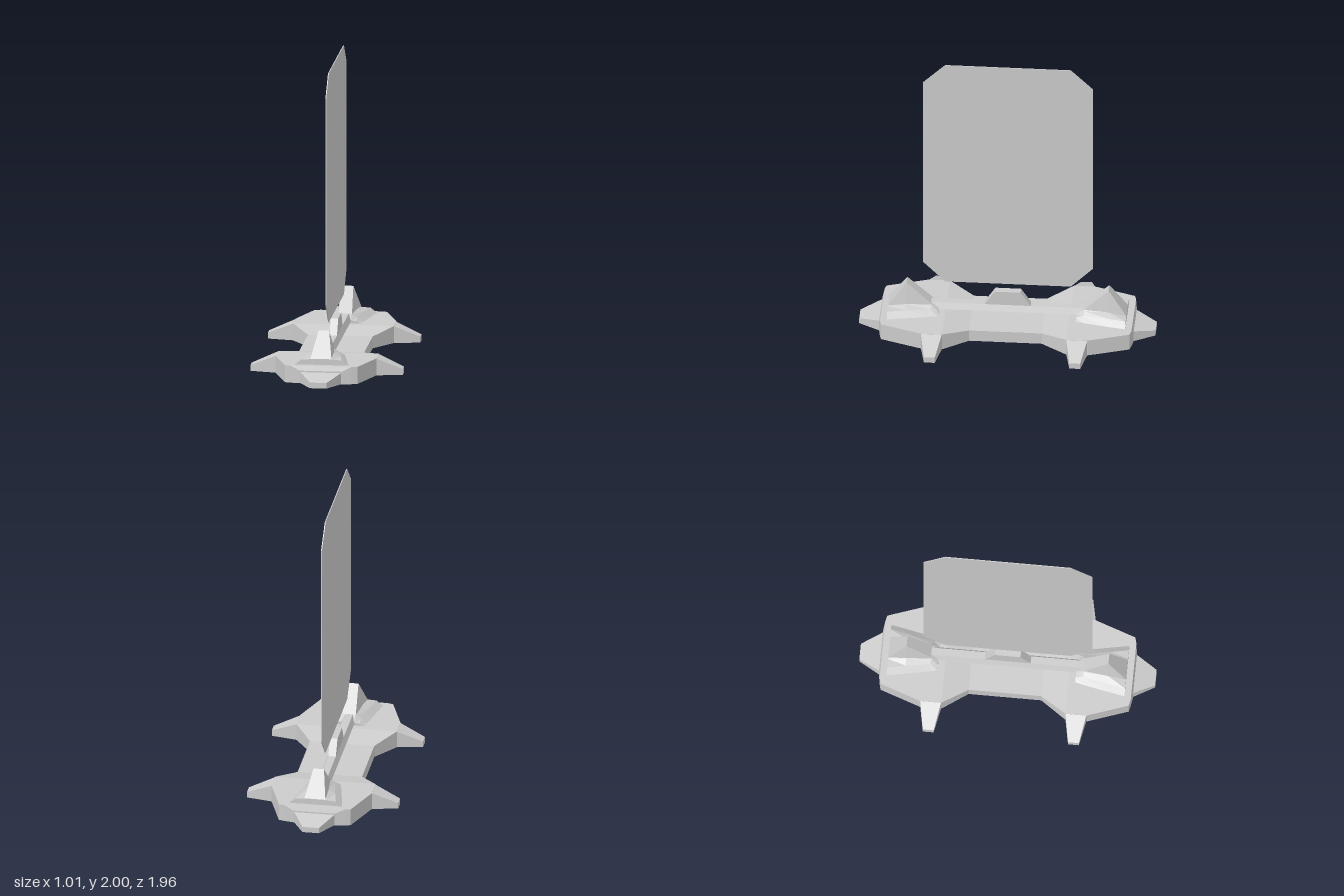
import * as THREE from 'three';

const material = new THREE.MeshStandardMaterial({ color: 0xcccccc, flatShading: true });

// Closed solid through rings of [x, y]; each ring runs counter-clockwise seen from +z, z rising
function loft(sections) {
  const pos = [];
  const put = (s, i) => pos.push(s.ring[i][0], s.ring[i][1], s.z);
  const n = sections[0].ring.length;
  for (let k = 0; k < sections.length - 1; k++) {
    const a = sections[k], b = sections[k + 1];
    for (let i = 0; i < n; i++) {
      const j = (i + 1) % n;
      put(a, i); put(a, j); put(b, j);
      put(a, i); put(b, j); put(b, i);
    }
  }
  const cap = (s, flip) => {
    const contour = s.ring.map(([x, y]) => new THREE.Vector2(x, y));
    for (const f of THREE.ShapeUtils.triangulateShape(contour, [])) {
      (flip ? [f[2], f[1], f[0]] : f).forEach((i) => put(s, i));
    }
  };
  cap(sections[0], true);
  cap(sections[sections.length - 1], false);
  const geo = new THREE.BufferGeometry();
  geo.setAttribute('position', new THREE.Float32BufferAttribute(pos, 3));
  geo.computeVertexNormals();
  return geo;
}

// Left-right symmetric section from its +x half, listed from the bottom up
const section = (z, half) => ({
  z, ring: [...half, ...half.slice().reverse().map(([x, y]) => [-x, y])],
});
// Trapezoid section standing on y0
const slab = (z, w, h, y0 = 0, wTop = w) => section(z, [[w, y0], [wTop, h]]);

// Flat outline in (z, y), given thickness along x
function sidePlate(points, thickness) {
  const shape = new THREE.Shape(points.map(([z, y]) => new THREE.Vector2(-z, y)));
  const geo = new THREE.ExtrudeGeometry(shape, { depth: thickness, bevelEnabled: false });
  geo.translate(0, 0, -thickness / 2);
  geo.rotateY(Math.PI / 2);
  return geo;
}

export function createModel() {
  const model = new THREE.Group();
  const add = (name, geo, x = 0, z = 0, turn = 0) => {
    const mesh = new THREE.Mesh(geo, material);
    mesh.name = name;
    mesh.position.set(x, 0, z);
    mesh.rotation.y = turn;
    model.add(mesh);
  };

  // Base: waisted body, raised at both ends
  const stations = [
    [0.24, 0.215, 0.08], [0.41, 0.335, 0.115], [0.55, 0.335, 0.115],
    [0.82, 0.24, 0.115], [0.83, 0.2, 0.115], [0.84, 0.14, 0.085],
  ];
  add('base', loft([
    ...stations.slice().reverse().map(([z, w, h]) => slab(-z, w, h)),
    ...stations.map(([z, w, h]) => slab(z, w, h)),
  ]));

  // Tapered feet on the four corners and toes on the two ends
  const foot = loft([slab(0.33, 0.07, 0.115), slab(0.505, 0.036, 0.04)]);
  for (const side of [1, -1]) {
    for (const z of [0.48, -0.48]) add('foot', foot, 0, z, side * Math.PI / 2);
  }
  const toe = loft([slab(0.83, 0.14, 0.078), slab(0.978, 0.055, 0.038)]);

  // Saddle: upright fin with skirts flaring onto the base
  const saddle = loft([
    section(0.455, [[0.115, 0.113], [0.08, 0.13], [0.05, 0.135], [0.04, 0.138]]),
    section(0.505, [[0.125, 0.113], [0.08, 0.145], [0.05, 0.165], [0.045, 0.17]]),
    section(0.667, [[0.157, 0.113], [0.11, 0.15], [0.065, 0.17], [0.035, 0.32]]),
    section(0.787, [[0.18, 0.113], [0.135, 0.148], [0.075, 0.152], [0.065, 0.155]]),
  ]);
  for (const turn of [0, Math.PI]) {
    add('toe', toe, 0, 0, turn);
    add('saddle', saddle, 0, 0, turn);
  }

  // Rail bridging the saddles, with a raised stop in the middle
  add('rail', loft([-0.55, 0.55].map((z) => slab(z, 0.045, 0.17, 0.13, 0.025))));
  add('railStop', sidePlate([[-0.155, 0.165], [0.155, 0.165], [0.085, 0.27], [-0.085, 0.27]], 0.05));

  // Thin upright panel with clipped corners
  add('panel', sidePlate([
    [-0.415, 0.32], [0.415, 0.32], [0.56, 0.465], [0.56, 1.86],
    [0.415, 2], [-0.415, 2], [-0.56, 1.86], [-0.56, 0.465],
  ], 0.006));

  return model;
}
